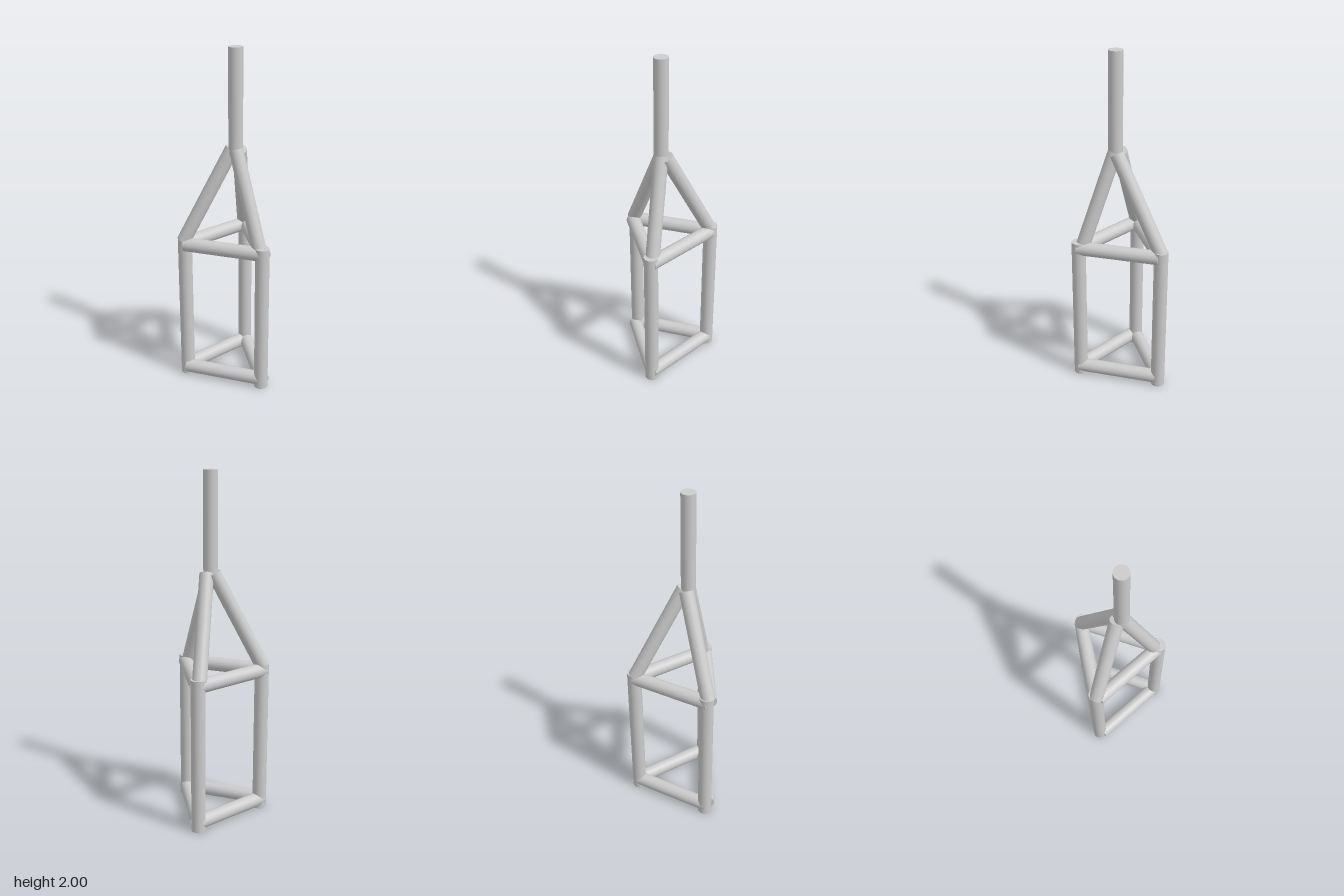
import * as THREE from 'three';

const RADIUS = 0.041;
const UP = new THREE.Vector3(0, 1, 0);

// A capped round bar running from point a to point b
function bar(name, a, b) {
  const start = new THREE.Vector3(...a);
  const end = new THREE.Vector3(...b);
  const axis = end.clone().sub(start);
  const mesh = new THREE.Mesh(
    new THREE.CylinderGeometry(RADIUS, RADIUS, axis.length(), 32),
    new THREE.MeshStandardMaterial({ color: 0xcccccc })
  );
  mesh.name = name;
  mesh.position.copy(start).add(end).multiplyScalar(0.5);
  mesh.quaternion.setFromUnitVectors(UP, axis.normalize());
  return mesh;
}

export function createModel() {
  const model = new THREE.Group();
  model.name = 'tripodFrame';

  const corners = [
    { name: 'front', x: -0.006, z: 0.211 },
    { name: 'right', x: -0.232, z: -0.21 },
    { name: 'left', x: 0.237, z: -0.21 },
  ];

  // Three upright posts
  for (const { name, x, z } of corners) {
    model.add(bar(`${name}Post`, [x, 0, z], [x, 0.905, z]));
  }

  // Lower and upper triangles of rails
  const rails = [
    ['rightRail', [-0.245, -0.196], [0, 0.219]],
    ['leftRail', [0.235, -0.199], [-0.005, 0.219]],
    ['backRail', [-0.245, -0.211], [0.235, -0.211]],
  ];
  for (const [level, y] of [['lower', 0.049], ['upper', 0.866]]) {
    for (const [name, [ax, az], [bx, bz]] of rails) {
      model.add(bar(`${level} ${name}`, [ax, y, az], [bx, y, bz]));
    }
  }

  // Sloping braces meeting under the mast
  model.add(bar('frontBrace', [-0.004, 0.885, 0.184], [-0.011, 1.435, -0.009]));
  model.add(bar('rightBrace', [-0.241, 0.885, -0.208], [-0.013, 1.435, -0.037]));
  model.add(bar('leftBrace', [0.229, 0.885, -0.212], [0.016, 1.43, -0.01]));

  // Mast
  model.add(bar('mast', [-0.011, 1.4, -0.011], [-0.011, 2, -0.011]));

  return model;
}
